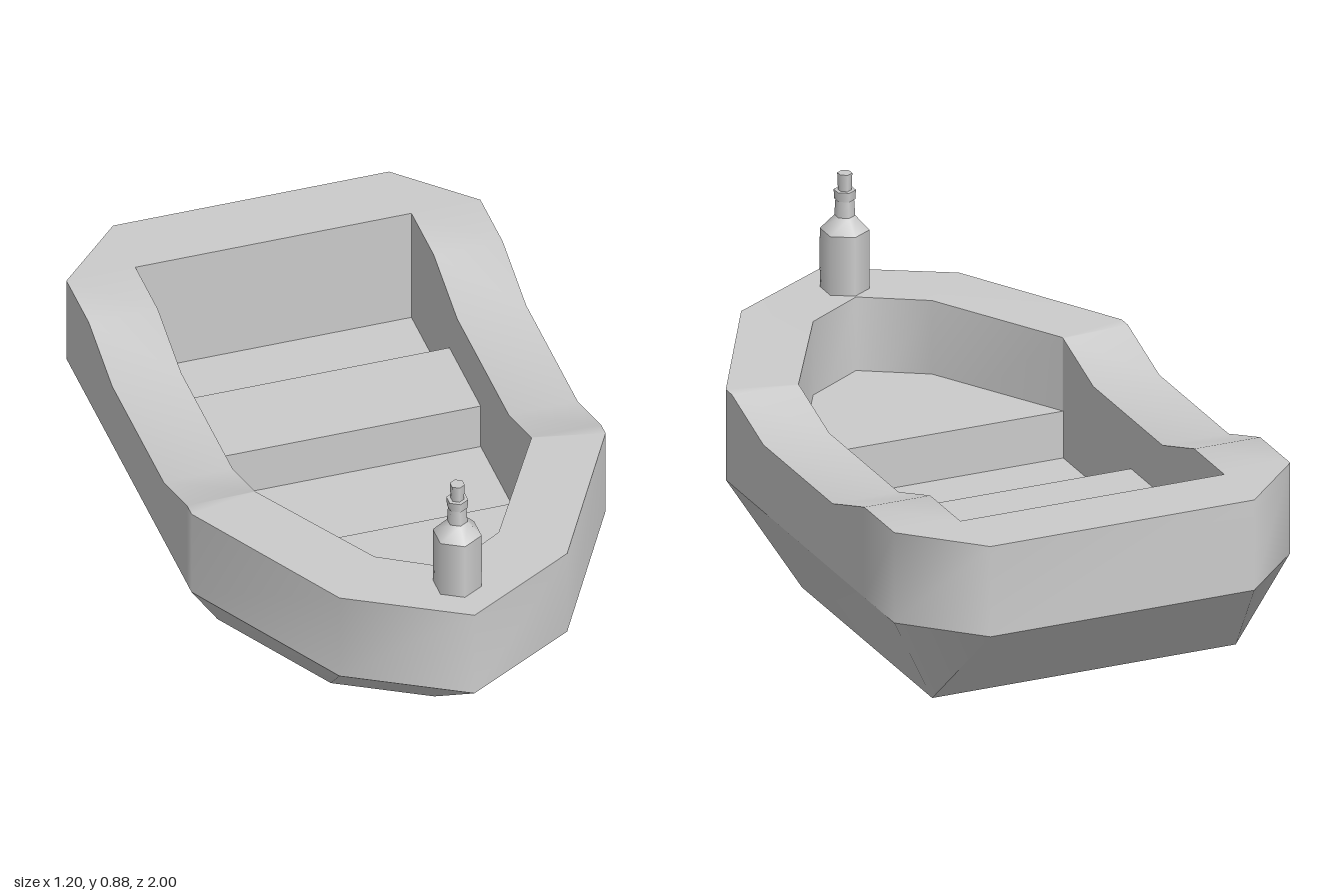
import * as THREE from 'three';

const RIM = 0.54, DIP = 0.47, CHINE = 0.27, FLOOR = 0.18, SEAT = 0.32;

// Height of the rim along the boat: lowered amidships
function rimY(z) {
  if (z >= 0.28 || z <= -0.6) return RIM;
  if (z > 0.07) return DIP + (RIM - DIP) * (z - 0.07) / 0.21;
  if (z < -0.39) return DIP + (RIM - DIP) * (-0.39 - z) / 0.21;
  return DIP;
}

// Closed loop from a half outline [x, z] running bow to stern; y is a number or a function of z
function loop(half, y) {
  const mirrored = half.slice(1).reverse().map(([x, z]) => [-x, z]);
  return [...half, ...mirrored].map(([x, z]) => [x, typeof y === 'function' ? y(z) : y, z]);
}

// Smooth strip of quads between two loops of equal length
function band(a, b) {
  const n = a.length, index = [];
  for (let i = 0; i < n; i++) {
    const j = (i + 1) % n;
    index.push(i, j, n + j, i, n + j, n + i);
  }
  const g = new THREE.BufferGeometry();
  g.setAttribute('position', new THREE.Float32BufferAttribute([...a, ...b].flat(), 3));
  g.setIndex(index);
  g.computeVertexNormals();
  return g;
}

export function createModel() {
  const model = new THREE.Group();
  model.name = 'rowboat';
  const material = new THREE.MeshStandardMaterial({ color: 0xcccccc });
  const add = (name, geometry, parent = model) => {
    const mesh = new THREE.Mesh(geometry, material);
    mesh.name = name;
    parent.add(mesh);
    return mesh;
  };

  // Half outlines; the middle stations follow the dip of the rim
  const stations = [0.28, 0.07, -0.39, -0.6];
  const outer = [[0, 1], [0.33, 0.81], [0.6, 0.32], ...stations.map(z => [0.6, z]), [0.6, -0.8], [0.4, -1]];
  const inner = [[0, 0.77], [0.18, 0.66], [0.4, 0.275], ...stations.map(z => [0.4, Math.min(z, 0.27)]), [0.4, -0.8], [0.4, -0.8]];
  const chine = [[0, 1], [0.33, 0.81], [0.6, 0.32], [0.6, -0.8], [0.4, -1]];
  const keel = [[0, 0.64], [0.253, 0.494], [0.46, 0.12], [0.46, -0.745], [0.46, -0.745]];

  const outerRim = loop(outer, rimY), innerRim = loop(inner, rimY);
  const innerFloor = loop(inner, FLOOR), bottom = loop(keel, 0);

  // Hull shell
  add('upperHull', band(loop(outer, CHINE), outerRim));
  add('lowerHull', band(bottom, loop(chine, CHINE)));
  add('hullBottom', band(bottom.map(() => [0, 0, 0]), bottom));
  add('rim', band(outerRim, innerRim));
  add('innerWall', band(innerRim, innerFloor));
  add('floor', band(innerFloor, innerFloor.map(() => [0, FLOOR, 0])));

  // Bench across the middle
  add('bench', new THREE.BoxGeometry(0.8, SEAT - FLOOR, 0.28)).position.set(0, (SEAT + FLOOR) / 2, -0.32);

  // Raised deck in the bow
  const deckShape = new THREE.Shape(
    [[-0.4, 0.27], [-0.18, 0.66], [0, 0.77], [0.18, 0.66], [0.4, 0.27]].map(([x, z]) => new THREE.Vector2(x, -z)));
  const deck = new THREE.ExtrudeGeometry(deckShape, { depth: SEAT - FLOOR, bevelEnabled: false });
  add('bowDeck', deck.rotateX(-Math.PI / 2)).position.y = FLOOR;

  // Six-sided bottle standing on the bow
  const bottle = new THREE.Group();
  bottle.name = 'bottle';
  bottle.position.set(0, RIM, 0.845);
  model.add(bottle);
  const section = (name, y0, y1, r0, r1) =>
    add(name, new THREE.CylinderGeometry(r1, r0, y1 - y0, 6), bottle).position.y = (y0 + y1) / 2;
  section('bottleBody', 0, 0.175, 0.069, 0.069);
  section('bottleShoulder', 0.175, 0.217, 0.069, 0.029);
  section('bottleNeck', 0.217, 0.265, 0.029, 0.026);
  section('bottleLip', 0.265, 0.293, 0.029, 0.031);
  section('bottleCork', 0.293, 0.343, 0.019, 0.021);
  add('bottleLabel', new THREE.CylinderGeometry(0.0698, 0.0698, 0.1, 3, 1, true, 0, Math.PI), bottle).position.y = 0.1;

  return model;
}
